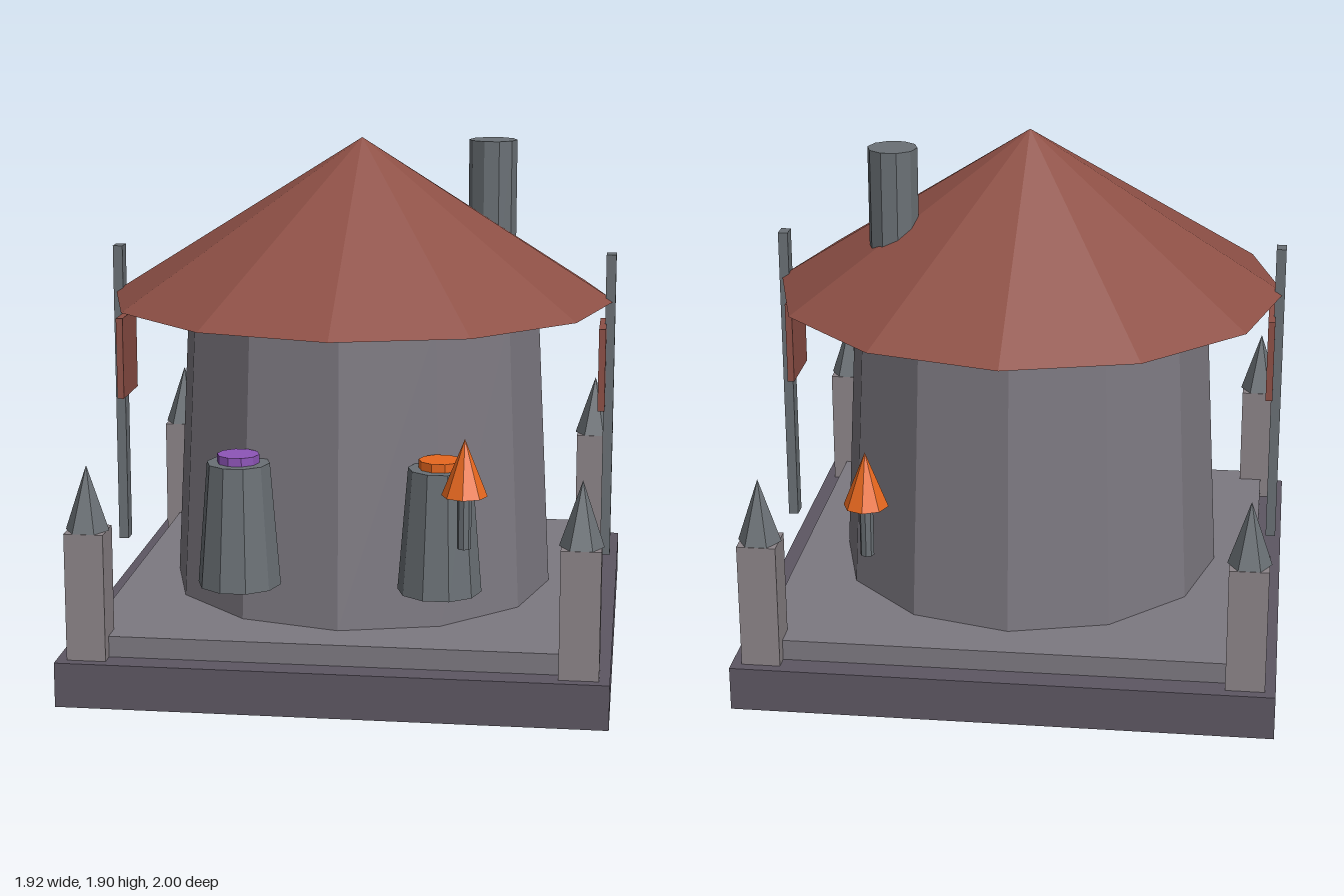
import * as THREE from 'three';

const mat = (color) => new THREE.MeshStandardMaterial({ color, flatShading: true });

export function createModel() {
  const model = new THREE.Group();
  const darkStone = mat(0x5d5763), stone = mat(0x7d7981), paleStone = mat(0x8c8488);
  const iron = mat(0x6a7075), tile = mat(0x8e5046), orange = mat(0xe8681f), purple = mat(0x8e55b8);

  const add = (name, geometry, material, x, y, z) => {
    const mesh = new THREE.Mesh(geometry, material);
    mesh.name = name;
    mesh.position.set(x, y, z);
    model.add(mesh);
    return mesh;
  };
  // Box and tapered round part, each placed by its bottom height
  const box = (name, w, h, d, material, x, y, z) =>
    add(name, new THREE.BoxGeometry(w, h, d), material, x, y + h / 2, z);
  const round = (name, rTop, rBottom, h, sides, material, x, y, z) => {
    const geometry = new THREE.CylinderGeometry(rTop, rBottom, h, sides);
    geometry.rotateY(Math.PI / 2); // corners on the x axis
    return add(name, geometry, material, x, y + h / 2, z);
  };

  // Stepped base
  box('base', 1.92, 0.16, 1.92, darkStone, 0, 0, 0);
  box('upperStep', 1.74, 0.075, 1.74, stone, 0, 0.16, 0);

  // Tower, roof and chimney
  round('tower', 0.655, 0.71, 1.075, 12, stone, 0, 0.235, 0);
  round('roof', 0, 0.935, 0.59, 12, tile, 0, 1.31, 0);
  round('chimney', 0.09, 0.09, 0.475, 10, iron, 0.467, 1.4, -0.22);

  for (const side of [-1, 1]) {
    // Corner posts with spires
    for (const end of [-1, 1]) {
      box('cornerPost', 0.138, 0.455, 0.138, paleStone, side * 0.854, 0.16, end * 0.854);
      round('postSpire', 0, 0.077, 0.23, 6, iron, side * 0.854, 0.615, end * 0.854);
    }
    // Banner poles and banners
    box('bannerPole', 0.036, 1.135, 0.06, iron, side * 0.92, 0.35, 0);
    box('banner', 0.025, 0.305, 0.235, tile, side * 0.895, 0.923, 0.021);
    // Cauldrons on the front wall
    round('cauldron', 0.112, 0.148, 0.44, 10, iron, side * 0.355, 0.385, 0.665);
    round('cauldronBrew', 0.075, 0.075, 0.03, 10, side < 0 ? purple : orange, side * 0.355, 0.825, 0.665);
    // Torches at front and back
    round('torchStem', 0.024, 0.024, 0.185, 8, iron, 0.46, 0.613, side * 0.922);
    round('torchFlame', 0, 0.078, 0.195, 8, orange, 0.46, 0.797, side * 0.922);
  }
  return model;
}
